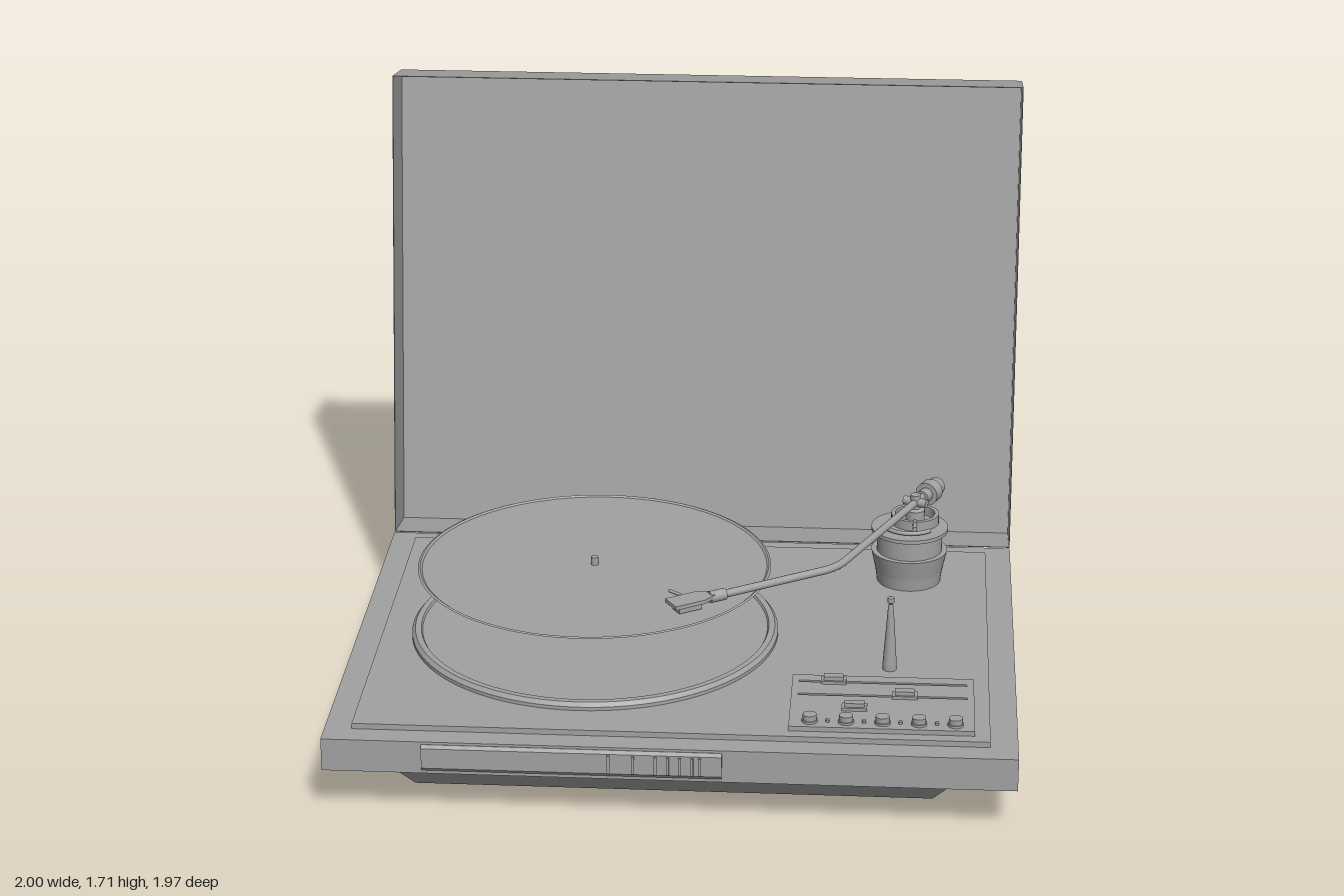
import * as THREE from 'three';

const GREY = 0xa2a2a2;
const mat = new THREE.MeshStandardMaterial({ color: GREY, side: THREE.DoubleSide });
const flatMat = new THREE.MeshStandardMaterial({ color: GREY, flatShading: true });

function add(parent, name, geo, x = 0, y = 0, z = 0, material = mat) {
  const m = new THREE.Mesh(geo, material);
  m.name = name;
  m.position.set(x, y, z);
  parent.add(m);
  return m;
}

// Box given by its extents on each axis
function block(parent, name, [x0, x1], [y0, y1], [z0, z1]) {
  return add(parent, name, new THREE.BoxGeometry(x1 - x0, y1 - y0, z1 - z0),
    (x0 + x1) / 2, (y0 + y1) / 2, (z0 + z1) / 2);
}

// Closed outline from a few points
const outline = pts => new THREE.Shape(pts.map(([x, y]) => new THREE.Vector2(x, y)));
const rect = (x0, x1, y0, y1) => outline([[x0, y0], [x1, y0], [x1, y1], [x0, y1]]);

// Turned part with crisp edges: each profile segment is its own band
function turned(parent, name, profile, x, z, seg = 48) {
  const g = new THREE.Group();
  g.name = name;
  g.position.set(x, 0, z);
  for (let i = 0; i < profile.length - 1; i++) {
    const pts = [profile[i], profile[i + 1]].map(([r, y]) => new THREE.Vector2(r, y));
    // Lathe normals face outward only for upward profiles; order by height, then inward
    add(g, name + 'Band', new THREE.LatheGeometry(pts, seg));
  }
  parent.add(g);
  return g;
}

// Cylinder running between two points
function rod(parent, name, a, b, r0, r1 = r0, seg = 20) {
  const p = new THREE.Vector3(...a), q = new THREE.Vector3(...b);
  const m = add(parent, name, new THREE.CylinderGeometry(r1, r0, p.distanceTo(q), seg));
  m.position.copy(p).lerp(q, 0.5);
  m.quaternion.setFromUnitVectors(new THREE.Vector3(0, 1, 0), q.sub(p).normalize());
  return m;
}

function buildBody(root) {
  const body = new THREE.Group();
  body.name = 'body';
  root.add(body);
  block(body, 'plinth', [-1, 1], [0.14, 0.24], [-0.52, 0.971]);
  block(body, 'topPlate', [-0.92, 0.92], [0.24, 0.257], [-0.445, 0.9]);

  // Foot: a box whose lower corners are drawn in
  const foot = new THREE.BoxGeometry(1.73, 0.14, 1.29);
  const p = foot.attributes.position;
  for (let i = 0; i < p.count; i++) {
    if (p.getY(i) < 0) {
      p.setX(i, Math.sign(p.getX(i)) * 0.76);
      p.setZ(i, Math.sign(p.getZ(i)) * 0.54);
    }
  }
  add(body, 'taperedFoot', foot, 0, 0.07, 0.225, flatMat);

  // Front strip with eased edges, extruded across the front, and its buttons
  const section = outline([[-0.96, 0.15], [-0.972, 0.15], [-0.979, 0.16], [-0.979, 0.222], [-0.972, 0.232], [-0.96, 0.232]]);
  const strip = add(body, 'frontStrip', new THREE.ExtrudeGeometry(section, { depth: 0.865, bevelEnabled: false }), -0.71);
  strip.rotation.y = Math.PI / 2;
  for (const x of [-0.17, -0.1, -0.035, 0, 0.035, 0.07, 0.092])
    block(body, 'frontButton', [x - 0.004, x + 0.004], [0.163, 0.218], [0.97, 0.985]);
}

function buildPlatter(root) {
  const x = -0.275, z = 0.217;
  turned(root, 'platter', [[0.558, 0.255], [0.558, 0.268], [0.548, 0.28], [0.53, 0.28], [0.526, 0.273], [0, 0.273]], x, z, 96);
  turned(root, 'record', [[0, 0.443], [0.435, 0.443], [0.535, 0.477], [0.528, 0.48], [0.522, 0.475], [0, 0.475]], x, z, 96);
  turned(root, 'spindle', [
    [0.02, 0.273], [0.02, 0.29], [0.012, 0.3], [0.008, 0.31], [0.008, 0.435], [0.035, 0.435],
    [0.035, 0.443], [0.011, 0.443], [0.011, 0.5], [0, 0.505]], x, z, 20);
}

function buildTonearm(root) {
  const arm = new THREE.Group();
  arm.name = 'tonearm';
  root.add(arm);
  turned(arm, 'armPedestal', [
    [0.1, 0.257], [0.105, 0.295], [0.119, 0.36], [0.102, 0.36], [0.102, 0.42],
    [0.12, 0.425], [0.12, 0.437], [0, 0.437]], 0.676, -0.227);

  // Pivot ring, bearing post and yoke
  const px = 0.692, pz = -0.26;
  turned(arm, 'pivotRing', [[0.075, 0.437], [0.075, 0.468], [0.062, 0.468], [0.062, 0.437]], px, pz, 32);
  turned(arm, 'bearingPost', [[0.03, 0.437], [0.03, 0.48], [0.016, 0.485], [0.016, 0.53], [0, 0.53]], px, pz, 20);
  rod(arm, 'yoke', [px - 0.035, 0.505, pz - 0.015], [px + 0.035, 0.505, pz + 0.015], 0.014);
  rod(arm, 'biasLever', [px, 0.46, pz + 0.05], [px, 0.46, pz + 0.115], 0.007);
  const guide = add(arm, 'armGuide', new THREE.TorusGeometry(0.085, 0.007, 8, 24, 1.8), 0.676, 0.447, -0.227);
  guide.rotation.set(Math.PI / 2, 0, 0.75);

  // Bent tube with a short radius at the elbow
  const V = (x, y, z) => new THREE.Vector3(x, y, z);
  const path = new THREE.CurvePath();
  path.add(new THREE.LineCurve3(V(0.725, 0.505, -0.33), V(0.48, 0.502, 0.21)));
  path.add(new THREE.QuadraticBezierCurve3(V(0.48, 0.502, 0.21), V(0.46, 0.502, 0.253), V(0.42, 0.502, 0.28)));
  path.add(new THREE.LineCurve3(V(0.42, 0.502, 0.28), V(0.09, 0.502, 0.495)));
  add(arm, 'armTube', new THREE.TubeGeometry(path, 60, 0.012, 12));

  // Counterweight in two steps
  rod(arm, 'counterweightNeck', [0.712, 0.502, -0.3], [0.73, 0.502, -0.34], 0.022);
  rod(arm, 'counterweight', [0.726, 0.502, -0.33], [0.743, 0.502, -0.368], 0.037, 0.037, 28);
  rod(arm, 'counterweightCap', [0.743, 0.502, -0.368], [0.759, 0.502, -0.405], 0.034, 0.028, 28);

  // Headshell, modelled along +x and turned onto the arm
  const head = new THREE.Group();
  head.name = 'headshell';
  head.position.set(0.1, 0.502, 0.488);
  head.rotation.y = Math.PI + 0.577;
  arm.add(head);
  const plate = outline([[0, 0.014], [0.045, 0.034], [0.143, 0.034], [0.143, -0.034], [0.045, -0.034], [0, -0.014]]);
  const shell = add(head, 'shellPlate', new THREE.ExtrudeGeometry(plate, { depth: 0.012, bevelEnabled: false }), 0, 0.012, 0);
  shell.rotation.x = Math.PI / 2;
  block(head, 'cartridge', [0.05, 0.125], [-0.02, 0.004], [-0.022, 0.022]);
  rod(head, 'armCollar', [-0.04, 0, 0], [0.012, 0, 0], 0.018);
  rod(head, 'fingerLift', [0.08, 0.006, 0.03], [0.1, 0.008, 0.085], 0.005, 0.005, 8);

  // Arm rest
  turned(root, 'armRest', [[0.021, 0.257], [0.021, 0.275], [0.009, 0.45], [0.006, 0.47], [0.01, 0.475], [0.01, 0.49], [0, 0.493]], 0.625, 0.435, 20);
}

function buildControls(root) {
  const panel = new THREE.Group();
  panel.name = 'controlPanel';
  root.add(panel);

  // Raised plate with two slider slots cut through it
  const face = rect(0.34, 0.875, -0.865, -0.522);
  for (const z of [0.565, 0.652]) face.holes.push(rect(0.36, 0.855, -z - 0.005, -z + 0.005));
  const plate = add(panel, 'panelPlate', new THREE.ExtrudeGeometry(face, { depth: 0.016, bevelEnabled: false }), 0, 0.256, 0);
  plate.rotation.x = -Math.PI / 2;

  for (const [x, z] of [[0.462, 0.565], [0.672, 0.652], [0.527, 0.738]]) {
    block(panel, 'sliderBase', [x - 0.037, x + 0.037], [0.27, 0.281], [z - 0.019, z + 0.019]);
    block(panel, 'sliderCap', [x - 0.029, x + 0.029], [0.281, 0.293], [z - 0.012, z + 0.012]);
  }
  for (let i = 0; i < 5; i++) {
    const x = 0.4 + i * 0.105;
    turned(panel, 'knob', [[0.023, 0.27], [0.023, 0.279], [0.02, 0.279], [0.02, 0.295], [0, 0.295]], x, 0.828, 24);
    if (i < 4) turned(panel, 'indicator', [[0.006, 0.27], [0.006, 0.28], [0, 0.28]], x + 0.052, 0.828, 10);
  }
}

function buildLid(root) {
  // Hollow lid, hinged at its lower front edge and leaning back
  const lid = new THREE.Group();
  lid.name = 'lid';
  lid.position.set(0, 0.239, -0.527);
  lid.rotation.x = -0.175;
  root.add(lid);
  const h = 1.489, d = 0.198, t = 0.002;
  block(lid, 'lidPanel', [-1, 1], [0, h], [-d, -d + t]);
  for (const y of [0, h - t]) block(lid, 'lidEdgeWall', [-1, 1], [y, y + t], [-d, 0]);
  for (const x of [-1, 1 - t]) block(lid, 'lidSideWall', [x, x + t], [0, h], [-d, 0]);

  // Hinges
  for (const x of [-0.72, 0.72]) {
    rod(root, 'hingePin', [x - 0.025, 0.235, -0.524], [x + 0.025, 0.235, -0.524], 0.006, 0.006, 12);
    block(root, 'hingeLeaf', [x - 0.02, x + 0.02], [0.212, 0.235], [-0.528, -0.518]);
  }
}

export function createModel() {
  const root = new THREE.Group();
  root.name = 'recordPlayer';
  buildBody(root);
  buildPlatter(root);
  buildTonearm(root);
  buildControls(root);
  buildLid(root);
  return root;
}
